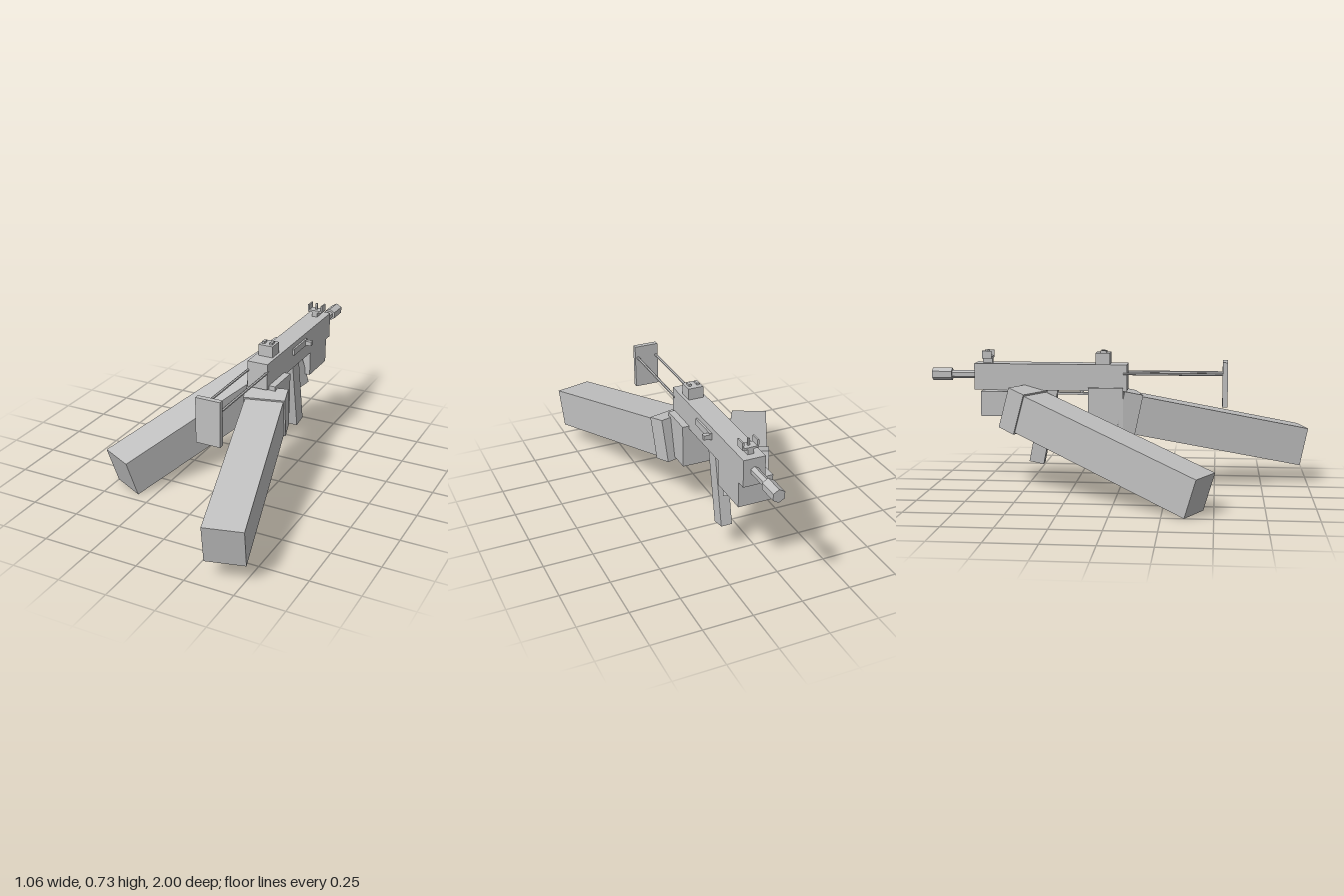
import * as THREE from 'three';

const CX = 0.14; // centre line of the gun body

export function createModel() {
  const model = new THREE.Group();
  model.name = 'blasterWithArms';
  const grey = new THREE.MeshStandardMaterial({ color: 0xc0c0c0, flatShading: true });
  grey.name = 'light grey';

  const add = (name, geometry, parent = model) => {
    const mesh = new THREE.Mesh(geometry, grey);
    mesh.name = name;
    parent.add(mesh);
    return mesh;
  };
  // Box given by its limits on each axis
  const box = (name, [x0, x1], [y0, y1], [z0, z1], parent = model) => {
    const g = new THREE.BoxGeometry(x1 - x0, y1 - y0, z1 - z0);
    g.translate((x0 + x1) / 2, (y0 + y1) / 2, (z0 + z1) / 2);
    return add(name, g, parent);
  };
  // Prism along z
  const rod = (name, r, sides, x, y, z0, z1) => {
    const g = new THREE.CylinderGeometry(r, r, z1 - z0, sides);
    g.rotateX(Math.PI / 2);
    g.translate(x, y, (z0 + z1) / 2);
    return add(name, g);
  };

  // Receiver and barrel
  box('receiver', [0.085, 0.195], [0.53, 0.668], [-0.765, 0.04]);
  rod('barrel', 0.021, 6, CX, 0.605, -0.9, -0.76);
  rod('muzzle', 0.033, 6, CX, 0.605, -1, -0.895);

  // Side bolt
  box('boltTrack', [0.19, 0.205], [0.605, 0.64], [-0.43, -0.265]);
  box('boltHandle', [0.2, 0.236], [0.61, 0.633], [-0.43, -0.407]);

  // Folding stock
  for (const side of [-1, 1]) {
    rod('stockRod', 0.007, 6, CX + side * 0.051, 0.621, 0.02, 0.545);
  }
  box('buttPlate', [0.078, 0.206], [0.454, 0.685], [0.535, 0.562]);

  // Rear sight
  box('rearSight', [0.102, 0.18], [0.66, 0.727], [-0.125, -0.05]);
  for (const side of [-1, 1]) {
    const x = CX + side * 0.021;
    box('rearSightPost', [x - 0.007, x + 0.007], [0.72, 0.738], [-0.1, -0.07]);
  }

  // Front sight
  box('frontSightBase', [CX - 0.015, CX + 0.015], [0.66, 0.697], [-0.725, -0.675]);
  box('frontSightBar', [CX - 0.04, CX + 0.04], [0.693, 0.703], [-0.725, -0.675]);
  for (const side of [-1, 1]) {
    const x = CX + side * 0.037;
    box('frontSightWing', [x - 0.004, x + 0.004], [0.695, 0.733], [-0.725, -0.675]);
  }
  box('frontSightPost', [CX - 0.005, CX + 0.005], [0.7, 0.738], [-0.705, -0.695]);

  // Slanted magazine, guard and trigger
  const magazine = add('magazine', new THREE.BoxGeometry(0.057, 0.42, 0.078));
  magazine.position.set(CX, 0.344, -0.403);
  magazine.rotation.x = 0.195;
  box('triggerGuard', [CX - 0.02, CX + 0.02], [0.504, 0.515], [-0.34, -0.15]);
  box('trigger', [CX - 0.008, CX + 0.008], [0.51, 0.535], [-0.21, -0.195]);

  // Hands
  box('rearHand', [0.072, 0.23], [0.326, 0.547], [-0.163, 0.02]);
  box('frontHand', [0.02, 0.195], [0.4, 0.53], [-0.718, -0.5]);

  // Forearm with a cuff at the wrist, starting at the elbow end
  const arm = (name, [x, y, z], yaw, pitch, length) => {
    const group = new THREE.Group();
    group.name = name;
    group.rotation.set(pitch, yaw, 0, 'YXZ');
    group.position.set(x, y, z);
    box('sleeve', [-0.097, 0.097], [-0.102, 0.102], [-length, 0], group);
    box('cuff', [-0.105, 0.105], [-0.111, 0.111], [-length - 0.1, -length], group);
    model.add(group);
  };
  arm('frontArm', [-0.429, 0.102, 0.432], -0.474, 0.309, 1.05);
  arm('rearArm', [0.428, 0.206, 0.954], 0.254, 0.21, 0.928);

  return model;
}
